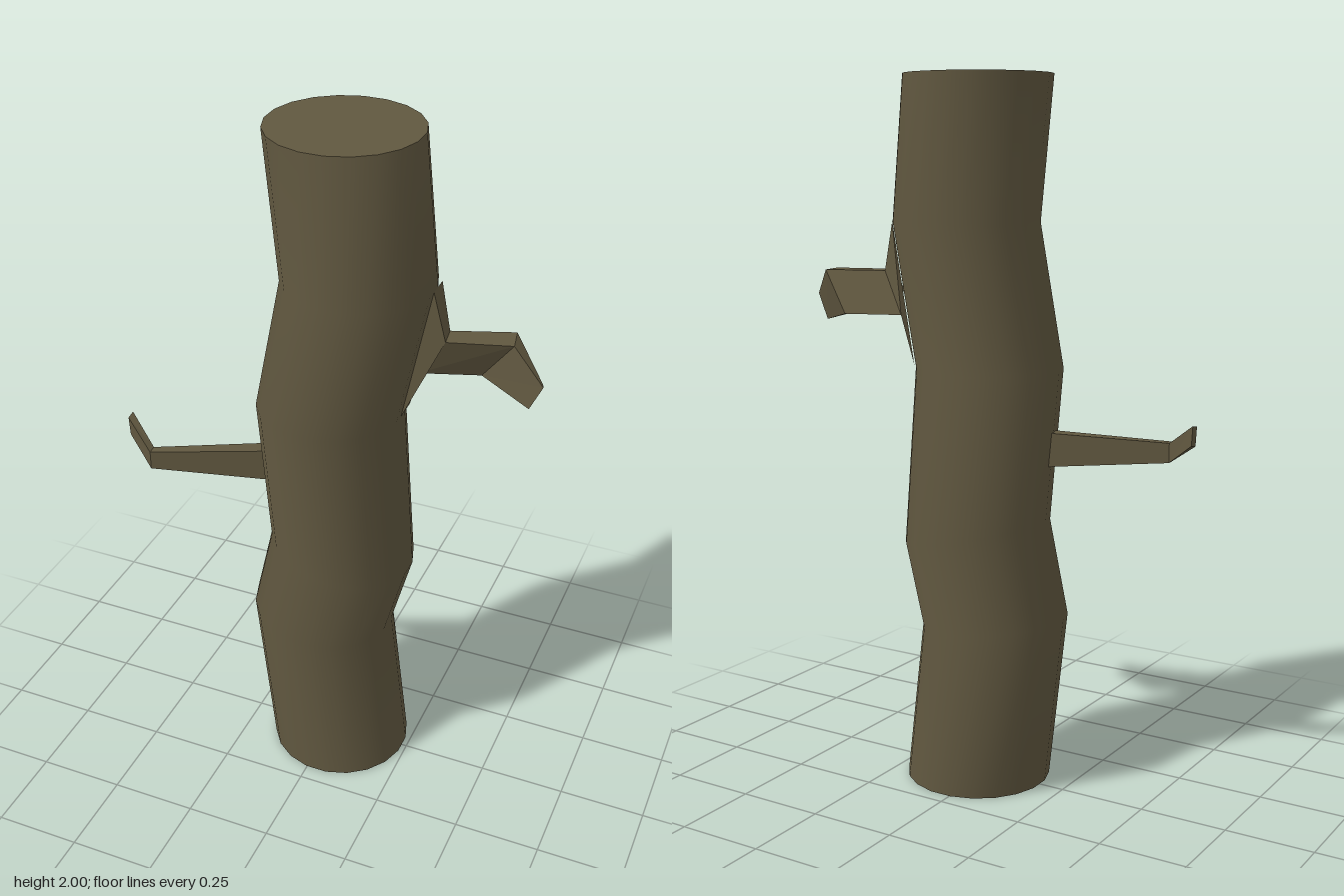
import * as THREE from 'three';
import { mergeVertices } from 'three/addons/utils/BufferGeometryUtils.js';

// Trunk rings from the ground up: centre x, left-edge y, right-edge y, centre z
const RINGS = [
  [0.03, 0, 0, -0.003],
  [-0.032, 0.5, 0.46, -0.012],
  [0.03, 0.77, 0.69, -0.008],
  [-0.005, 1.2, 1.2, 0],
  [0.08, 1.6, 1.6, 0.015],
  [0.03, 2, 2, -0.003],
];
const RADIUS = 0.207;
const SIDES = 20;

// Smooth bent log with flat caps
function trunkGeometry() {
  const n = RINGS.length - 1;
  let geo = new THREE.CylinderGeometry(1, 1, n, SIDES, n, false, Math.PI / SIDES);
  geo.deleteAttribute('uv');
  geo = mergeVertices(geo); // closes the seam, keeps the cap edges sharp
  const p = geo.attributes.position;
  for (let i = 0; i < p.count; i++) {
    const [cx, yLeft, yRight, cz] = RINGS[Math.round(p.getY(i) + n / 2)];
    const x = p.getX(i);
    p.setXYZ(i, cx + x * RADIUS, THREE.MathUtils.lerp(yLeft, yRight, (x + 1) / 2), cz + p.getZ(i) * RADIUS);
  }
  geo.computeVertexNormals();
  return geo;
}

// Flat-sided branch through four-cornered rings, closed at the tip
function branchGeometry(rings) {
  const pos = [];
  const quad = (a, b, c, d) => [a, b, c, a, c, d].forEach((v) => pos.push(...v));
  for (let i = 0; i < rings.length - 1; i++) {
    for (let j = 0; j < 4; j++) {
      const k = (j + 1) % 4;
      quad(rings[i][j], rings[i + 1][j], rings[i + 1][k], rings[i][k]);
    }
  }
  const tip = rings[rings.length - 1];
  quad(tip[0], tip[3], tip[2], tip[1]);
  const geo = new THREE.BufferGeometry();
  geo.setAttribute('position', new THREE.Float32BufferAttribute(pos, 3));
  geo.computeVertexNormals();
  return geo;
}

export function createModel() {
  const group = new THREE.Group();
  group.name = 'treeTrunk';
  const bark = new THREE.MeshStandardMaterial({ color: 0x615840 });
  bark.name = 'bark';
  const add = (name, geo) => {
    const mesh = new THREE.Mesh(geo, bark);
    mesh.name = name;
    group.add(mesh);
  };

  add('trunk', trunkGeometry());

  // Thick twisted branch flaring out of the trunk
  add('leftBranch', branchGeometry([
    [[0.285, 1.6, 0.015], [0.283, 1.6, -0.055], [0.198, 1.2, -0.075], [0.2, 1.2, 0]],
    [[0.32, 1.46, 0.01], [0.31, 1.46, -0.055], [0.235, 1.34, -0.085], [0.24, 1.34, -0.01]],
    [[0.49, 1.46, -0.04], [0.475, 1.46, -0.115], [0.39, 1.34, -0.14], [0.4, 1.34, -0.065]],
    [[0.585, 1.38, 0], [0.58, 1.38, -0.015], [0.545, 1.305, -0.02], [0.55, 1.305, -0.005]],
  ]));

  // Thin branch with a turned-up end
  add('rightBranch', branchGeometry([
    [[-0.15, 1.03, 0], [-0.15, 1.03, 0.05], [-0.15, 0.93, 0.05], [-0.15, 0.93, 0]],
    [[-0.495, 1.01, 0.14], [-0.492, 1.01, 0.168], [-0.492, 0.955, 0.168], [-0.495, 0.955, 0.14]],
    [[-0.588, 1.075, 0.085], [-0.588, 1.07, 0.112], [-0.585, 1.015, 0.112], [-0.585, 1.02, 0.085]],
  ]));

  return group;
}
